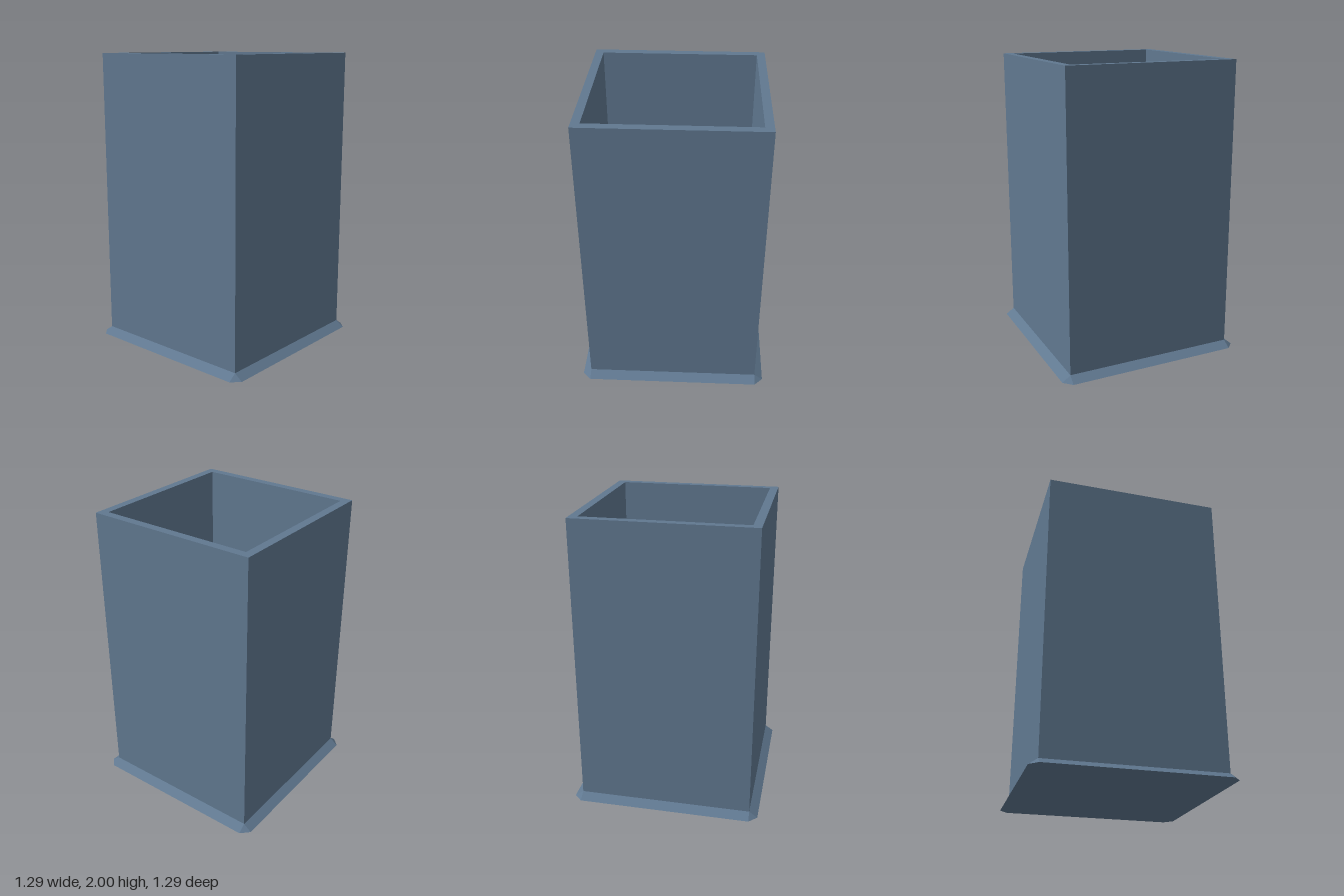
import * as THREE from 'three';

const material = new THREE.MeshStandardMaterial({ color: 0x607890, flatShading: true });

// Square outline of half-width h with corners cut by c, at height y
function outline([h, y, c = 0]) {
  const points = [];
  let corner = [[h, h - c], [h - c, h]];
  for (let k = 0; k < 4; k++) {
    for (const [x, z] of corner) points.push(new THREE.Vector3(x, y, z));
    corner = corner.map(([x, z]) => [-z, x]);
  }
  return points;
}

// Skin a list of [halfWidth, height, cornerCut] outlines
function loft(name, profile) {
  const loops = profile.map(outline);
  const points = [];
  const triangle = (a, b, c) => {
    if (new THREE.Triangle(a, b, c).getArea() > 1e-7) points.push(a, b, c);
  };
  for (let j = 0; j < loops.length - 1; j++) {
    const low = loops[j], high = loops[j + 1];
    for (let i = 0; i < 8; i++) {
      const n = (i + 1) % 8;
      triangle(low[i], high[i], low[n]);
      triangle(high[i], high[n], low[n]);
    }
  }
  const geometry = new THREE.BufferGeometry().setFromPoints(points);
  geometry.computeVertexNormals();
  const mesh = new THREE.Mesh(geometry, material);
  mesh.name = name;
  return mesh;
}

export function createModel() {
  const group = new THREE.Group();
  group.name = 'squareContainer';

  // Flared foot with cut corners, closed underneath
  group.add(loft('flaredBase', [[0, 0], [0.645, 0, 0.055], [0.588, 0.04]]));
  // Outer walls, flat rim and inner walls
  group.add(loft('walls', [[0.588, 0.04], [0.588, 2], [0.532, 2], [0.532, 0.1]]));
  // Ledge around a shallow recessed floor
  group.add(loft('innerFloor', [[0.532, 0.1], [0.475, 0.1], [0.475, 0.055], [0, 0.055]]));

  return group;
}
